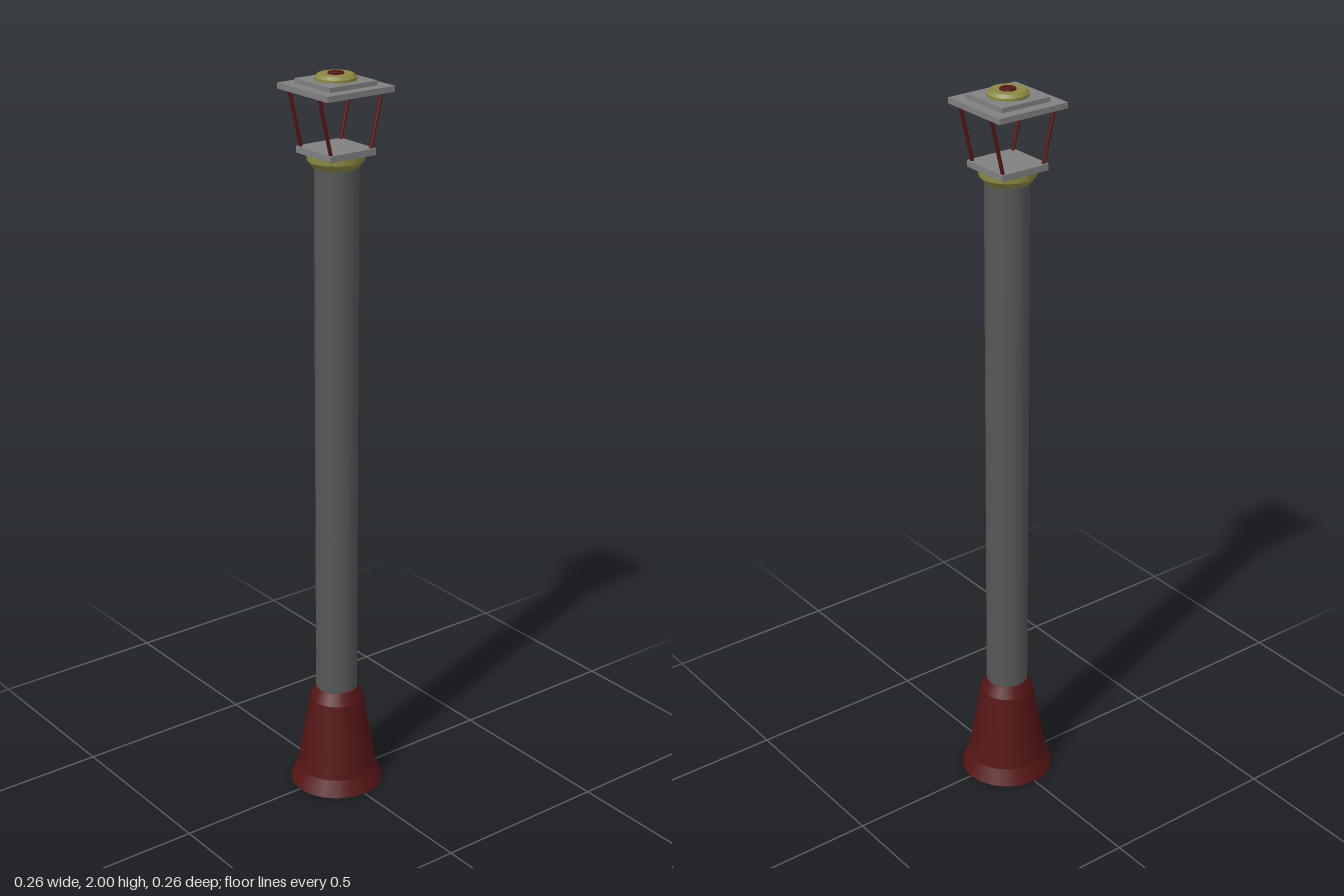
import * as THREE from 'three';

const SIDES = 20;
const paint = (color) => new THREE.MeshStandardMaterial({ color });
const red = paint(0x551515);
const iron = paint(0x565856);
const grey = paint(0x808080);
const gold = paint(0x8a8842);

function add(parent, name, geometry, material) {
  const mesh = new THREE.Mesh(geometry, material);
  mesh.name = name;
  parent.add(mesh);
  return mesh;
}

// Round part from stacked rings [radius, y]; rings stay crisp, sides stay smooth
function turned(parent, name, rings, material) {
  const group = new THREE.Group();
  group.name = name;
  const last = rings.length - 1;
  for (let i = 0; i < last; i++) {
    const [r0, y0] = rings[i];
    const [r1, y1] = rings[i + 1];
    add(group, name + 'Section', new THREE.CylinderGeometry(r1, r0, y1 - y0, SIDES, 1, true), material)
      .position.y = (y0 + y1) / 2;
  }
  // End discs
  const bottom = add(group, name + 'Bottom', new THREE.CircleGeometry(rings[0][0], SIDES), material);
  bottom.rotation.x = Math.PI / 2;
  bottom.position.y = rings[0][1];
  const top = add(group, name + 'Top', new THREE.CircleGeometry(rings[last][0], SIDES), material);
  top.rotation.x = -Math.PI / 2;
  top.position.y = rings[last][1];
  parent.add(group);
}

// Square slab between two heights
function plate(parent, name, width, y0, y1) {
  add(parent, name, new THREE.BoxGeometry(width, y1 - y0, width), grey).position.y = (y0 + y1) / 2;
}

export function createModel() {
  const model = new THREE.Group();
  model.name = 'lampPost';

  // Flared foot and column
  turned(model, 'base', [[0.129, 0], [0.11, 0.045], [0.074, 0.257], [0.058, 0.29]], red);
  turned(model, 'column', [[0.057, 0.2], [0.057, 1.77]], iron);

  // Lantern head
  const head = new THREE.Group();
  head.name = 'lantern';
  head.position.set(-0.001, 0, -0.002);
  model.add(head);
  turned(head, 'collar', [[0.058, 1.76], [0.073, 1.778], [0.073, 1.793]], gold);
  plate(head, 'lanternFloor', 0.143, 1.793, 1.81);

  // Four corner posts, leaning outward to the sides only
  const up = new THREE.Vector3(0, 1, 0);
  for (const sx of [-1, 1]) {
    for (const sz of [-1, 1]) {
      const foot = new THREE.Vector3(sx * 0.062, 1.805, sz * 0.062);
      const tip = new THREE.Vector3(sx * 0.098, 1.957, sz * 0.062);
      const dir = tip.clone().sub(foot);
      const post = add(head, 'lanternPost', new THREE.CylinderGeometry(0.005, 0.005, dir.length(), 8), red);
      post.position.copy(foot).add(tip).multiplyScalar(0.5);
      post.quaternion.setFromUnitVectors(up, dir.normalize());
    }
  }

  // Stepped roof with finial
  plate(head, 'roofPlate', 0.208, 1.953, 1.968);
  plate(head, 'roofStep', 0.147, 1.968, 1.98);
  turned(head, 'roofCap', [[0.053, 1.98], [0.053, 1.987], [0.045, 1.995]], gold);
  turned(head, 'finial', [[0.021, 1.99], [0.021, 1.998], [0.017, 2.0]], red);

  return model;
}
